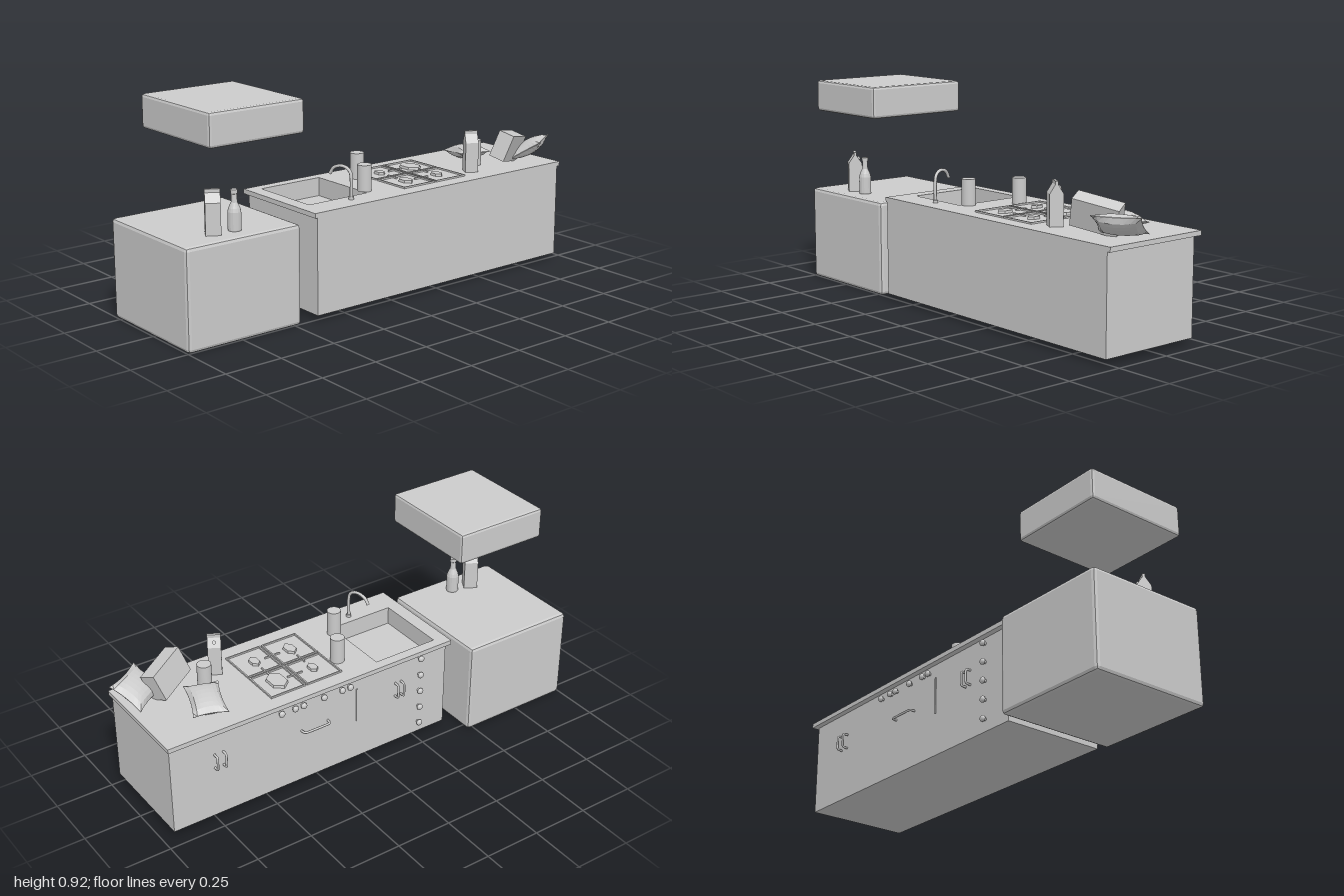
import * as THREE from 'three';
import { RoundedBoxGeometry } from 'three/addons/geometries/RoundedBoxGeometry.js';

const flat = new THREE.MeshStandardMaterial({ color: 0xcccccc, flatShading: true });
const smooth = new THREE.MeshStandardMaterial({ color: 0xcccccc });
const V = (x, y, z) => new THREE.Vector3(x, y, z);

export function createModel() {
  const root = new THREE.Group();
  root.name = 'kitchen';

  function add(name, geo, x = 0, y = 0, z = 0, mat = flat, parent = root) {
    const m = new THREE.Mesh(geo, mat);
    m.name = name;
    m.position.set(x, y, z);
    parent.add(m);
    return m;
  }
  // box given by its limits
  function block(name, x0, x1, y0, y1, z0, z1, bevel = 0) {
    const s = [x1 - x0, y1 - y0, z1 - z0];
    const geo = bevel ? new RoundedBoxGeometry(...s, 1, bevel) : new THREE.BoxGeometry(...s);
    return add(name, geo, (x0 + x1) / 2, (y0 + y1) / 2, (z0 + z1) / 2);
  }
  function rect(Type, x0, x1, z0, z1) {
    return new Type([[x0, -z1], [x1, -z1], [x1, -z0], [x0, -z0]].map(p => new THREE.Vector2(...p)));
  }
  // horizontal slab with a rectangular opening
  function slab(name, outer, hole, y0, y1) {
    const s = rect(THREE.Shape, ...outer);
    s.holes.push(rect(THREE.Path, ...hole));
    const g = new THREE.ExtrudeGeometry(s, { depth: y1 - y0, bevelEnabled: false });
    return add(name, g.rotateX(-Math.PI / 2), 0, y0, 0);
  }
  function tube(name, pts, r, tension = 0.5) {
    const c = new THREE.CatmullRomCurve3(pts, false, 'catmullrom', tension);
    return add(name, new THREE.TubeGeometry(c, 24, r, 8), 0, 0, 0, smooth);
  }

  // Large chamfered units
  block('frontCabinet', -0.29, 0.255, 0, 0.415, 0.47, 1, 0.015);
  block('overheadCabinet', -0.19, 0.285, 0.783, 0.92, 0.47, 0.905, 0.012);

  // Counter with a sunken sink
  const sink = [-0.175, 0.15, 0.05, 0.35];
  block('counterBody', -0.195, 0.27, 0.025, 0.37, -0.95, 0.4);
  slab('counterUpperBody', [-0.195, 0.27, -0.95, 0.4], sink, 0.37, 0.43);
  slab('worktop', [-0.22, 0.27, -0.965, 0.41], sink, 0.43, 0.45);

  // Faucet
  tube('faucet', [V(0.19, 0.45, 0.165), V(0.19, 0.54, 0.165), V(0.178, 0.572, 0.169), V(0.145, 0.584, 0.18),
    V(0.11, 0.572, 0.192), V(0.092, 0.545, 0.198)], 0.007);
  add('faucetBase', new THREE.CylinderGeometry(0.011, 0.011, 0.012, 12), 0.19, 0.456, 0.165, smooth);

  // Hob: four grate frames, each with a burner and short bars
  const xs = [[-0.155, 0.016], [0.024, 0.2]], zs = [[-0.455, -0.289], [-0.281, -0.11]];
  const burners = [[0.06, 0.042], [0.034, 0.022], [0.032, 0.02], [0.04, 0.026]];
  const t = 0.006;
  zs.forEach(([z0, z1], j) => xs.forEach(([x0, x1], i) => {
    slab('grateFrame', [x0, x1, z0, z1], [x0 + t, x1 - t, z0 + t, z1 - t], 0.449, 0.457);
    const cx = i ? 0.11 : -0.063, cz = j ? -0.195 : -0.37;
    const [rx, rz] = burners[j * 2 + i];
    const b = add('burner', new THREE.CylinderGeometry(0.94, 1, 0.012, 6).rotateY(Math.PI / 2), cx, 0.455, cz);
    b.scale.set(rx, 1, rz);
    const ex = i ? x0 : x1, ez = j ? z0 : z1;
    const dx = i ? 0.028 : -0.02, dz = j ? 0.035 : -0.03;
    block('grateBar', Math.min(ex, ex + dx), Math.max(ex, ex + dx), 0.449, 0.457, cz - t / 2, cz + t / 2);
    block('grateBar', cx - t / 2, cx + t / 2, 0.449, 0.457, Math.min(ez, ez + dz), Math.max(ez, ez + dz));
  }));

  // Knobs and handles on the working side
  const face = -0.195;
  function knob(name, y, z, r) {
    add(name + 'Stem', new THREE.CylinderGeometry(r * 0.5, r * 0.5, 0.014, 10).rotateZ(Math.PI / 2), face - 0.006, y, z, smooth);
    add(name, new THREE.SphereGeometry(r, 12, 8).scale(0.7, 1, 1), face - 0.015, y, z, smooth);
  }
  for (const z of [-0.44, -0.375, -0.335, -0.235, -0.145, -0.105]) knob('ovenKnob', 0.4, z, 0.014);
  for (let i = 0; i < 5; i++) knob('drawerKnob', 0.405 - i * 0.082, 0.26, 0.014);
  function handle(name, y, z, dy, dz) {
    const p = (k, d) => V(face - d, y + k * dy, z + k * dz);
    tube(name, [p(-1, 0), p(-0.95, 0.02), p(-0.7, 0.024), p(0.7, 0.024), p(0.95, 0.02), p(1, 0)], 0.005, 0.3);
  }
  handle('ovenHandle', 0.27, -0.275, 0, 0.065);
  for (const z of [-0.75, -0.71, 0.135, 0.165]) handle('doorHandle', 0.29, z, 0.032, 0);
  block('panelStrip', face - 0.004, face, 0.21, 0.37, -0.068, -0.062);

  // Canisters
  for (const [x, z] of [[-0.07, -0.075], [0.115, 0.035], [0.07, -0.63]])
    add('canister', new THREE.CylinderGeometry(0.03, 0.03, 0.112, 24), x, 0.506, z, smooth);

  // Gable-top cartons
  function carton(x, y, z, w, body, top) {
    const g = new THREE.Group(), h = w / 2, f = 0.006;
    g.name = 'carton';
    g.position.set(x, y, z);
    g.rotation.y = -Math.PI / 6;
    const half = [[h, 0], [h, body], [f, top - 0.014], [f, top]];
    const pts = [...half, ...half.map(([a, b]) => [-a, b]).reverse()].map(p => new THREE.Vector2(...p));
    const geo = new THREE.ExtrudeGeometry(new THREE.Shape(pts), { depth: w, bevelEnabled: false });
    add('cartonBody', geo.translate(0, 0, -h), 0, 0, 0, flat, g);
    const slope = Math.atan2(top - 0.014 - body, h - f);
    const cap = add('cartonCap', new THREE.CylinderGeometry(0.008, 0.008, 0.012, 10),
      -(h + f) / 2, (body + top - 0.014) / 2 + 0.002, 0, smooth, g);
    cap.rotation.z = slope;
    root.add(g);
  }
  carton(0.15, 0.415, 0.81, 0.06, 0.128, 0.178);
  carton(0.147, 0.45, -0.535, 0.056, 0.13, 0.18);

  // Bottle
  const prof = [[0, 0], [0.026, 0], [0.027, 0.004], [0.027, 0.075], [0.023, 0.09], [0.013, 0.112],
    [0.011, 0.145], [0.014, 0.147], [0.014, 0.163], [0, 0.163]].map(p => new THREE.Vector2(...p));
  add('bottle', new THREE.LatheGeometry(prof, 16), 0.16, 0.415, 0.717, flat);

  // Plump bags: a flattened sphere-like sheet pair with pinched sides
  function bag(w, d, h, pos, xAxis, zAxis) {
    const geo = new THREE.BoxGeometry(2, 2, 2, 8, 1, 8);
    const p = geo.attributes.position;
    for (let i = 0; i < p.count; i++) {
      const u = p.getX(i), v = p.getZ(i), s = p.getY(i);
      const puff = Math.pow((1 - u * u) * (1 - v * v), 0.55);
      p.setXYZ(i, u * w / 2 * (1 - 0.1 * (1 - v * v) * u * u), s * (0.001 + puff * h / 2),
        v * d / 2 * (1 - 0.12 * (1 - u * u) * v * v));
    }
    geo.computeVertexNormals();
    const m = add('bag', geo, ...pos);
    const x = V(...xAxis).normalize(), z = V(...zAxis);
    z.addScaledVector(x, -z.dot(x)).normalize();
    m.quaternion.setFromRotationMatrix(new THREE.Matrix4().makeBasis(x, z.clone().cross(x), z));
  }
  bag(0.195, 0.145, 0.064, [-0.045, 0.481, -0.692], [0.185, 0.025, 0.06], [-0.045, 0, 0.14]);
  bag(0.195, 0.16, 0.064, [0.15, 0.507, -0.893], [-0.105, 0, -0.165], [0.105, 0.085, -0.09]);

  // Box leaning against the far bag
  const box = add('leaningBox', new THREE.BoxGeometry(0.07, 0.12, 0.19), 0.143, 0.528, -0.765);
  box.rotation.set(-0.2, 0.49, -0.33, 'YXZ');

  return root;
}
